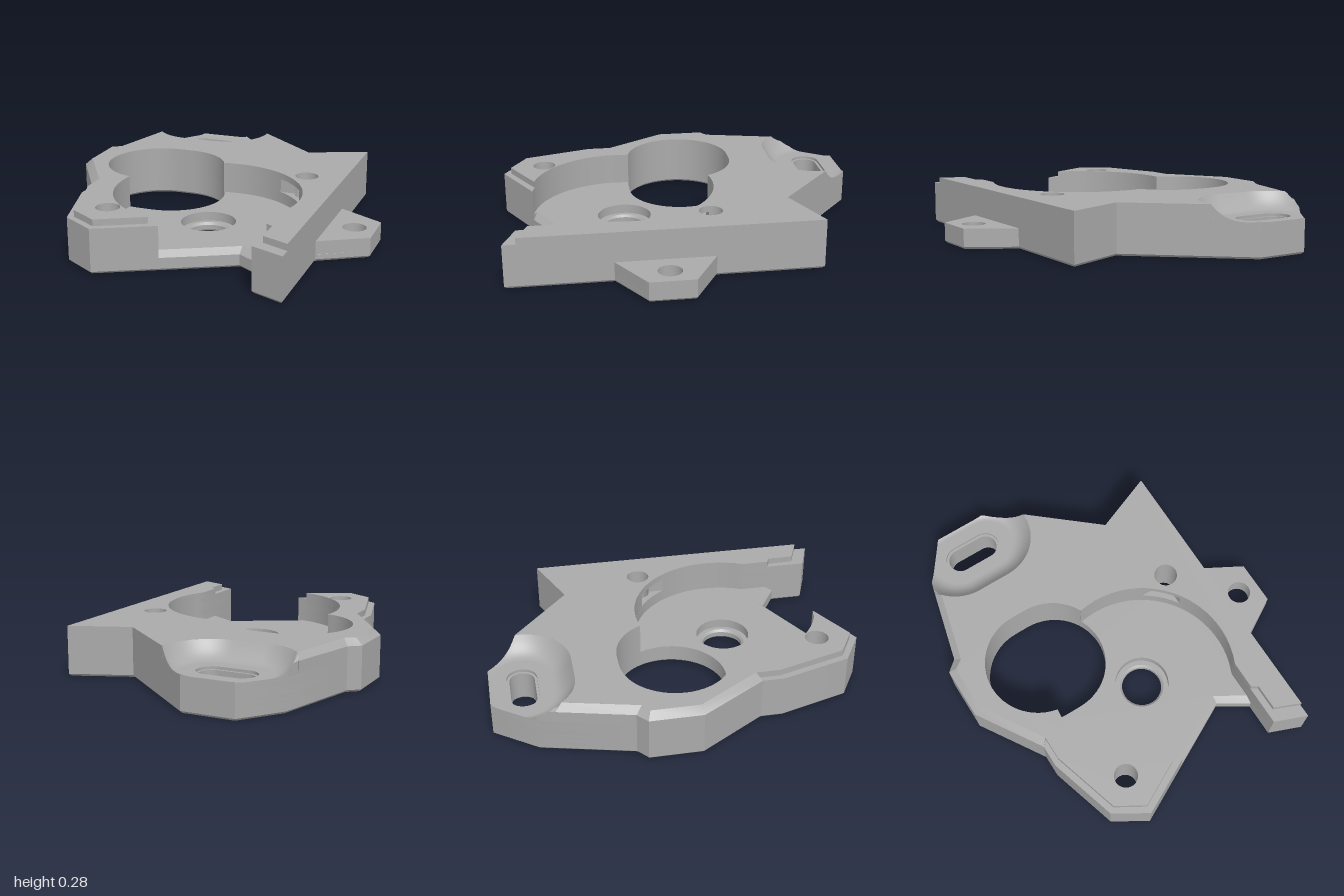
import * as THREE from 'three';
import { toCreasedNormals } from 'three/addons/utils/BufferGeometryUtils.js';

// All contours are lists of [x, z] points seen in plan.
const rad = Math.PI / 180;
function arc(cx, cz, r, from, to) {
  const n = Math.max(2, Math.ceil(Math.abs(to - from) / 6));
  return Array.from({ length: n + 1 }, (_, i) => {
    const a = (from + (to - from) * i / n) * rad;
    return [cx + r * Math.cos(a), cz + r * Math.sin(a)];
  });
}
const circle = (x, z, r) => arc(x, z, r, 0, 360).slice(0, -1);
const stadium = (x, z, half, r) => [...arc(x + half, z, r, -90, 90), ...arc(x - half, z, r, 90, 270)];

// Outer silhouette, in runs
const backEnd = [[-0.70, -0.78], [-0.54, -1], [-0.25, -1]];
const rightSide = [[0.30, -0.53], [0.625, -0.66], [0.625, 0.99], [0.45, 0.92]];
const leftSide = [[-0.37, 0.98], [-0.55, 0.87], [-0.66, 0.50], [-0.66, 0.38], [-0.88, 0.03], [-0.88, -0.25], [-0.82, -0.30]];
const frontEdge = [[-0.07, 0.825], [0.29, 0.64], [0.45, 0.74]];
const frontInset = [[-0.11, 0.805], [0.29, 0.60], [0.45, 0.695]];
const outline = [...backEnd, ...rightSide, ...[...frontEdge].reverse(), ...leftSide];

// Wall of the round pocket running into the large bore
function pocketWall(withSlot, endAngle = 98) {
  const upper = withSlot
    ? [...arc(0, 0.33, 0.5, 25.8, -32.8), ...arc(0.42, -0.09, 0.063, 90, -180), ...arc(0, 0.33, 0.5, -57.3, -101)]
    : arc(0, 0.33, 0.5, 25.8, -101);
  return [
    ...upper,
    ...arc(-0.357, -0.035, 0.293, -26.5, -90), ...arc(-0.437, -0.035, 0.293, -90, -258),
    ...arc(0, 0.33, 0.5, 188.8, endAngle),
  ];
}
// Edge of the scoop around the adjusting slot
const scoopEdge = (start) => [...arc(-0.5, -0.825, 0.26, start, 90), ...arc(-0.32, -0.825, 0.26, 90, -2.8)];

const bore = stadium(-0.397, -0.035, 0.04, 0.293);
const leftScrew = circle(-0.38, 0.75, 0.063);
const rightScrew = circle(0.42, -0.09, 0.063);
const slot = stadium(-0.41, -0.827, 0.08, 0.066);
const slotRim = stadium(-0.41, -0.827, 0.08, 0.08);

export function createModel() {
  const group = new THREE.Group();
  const metal = new THREE.MeshStandardMaterial({ color: 0xaaaaaa, side: THREE.DoubleSide });
  metal.name = 'plain grey';

  function add(name, geometry) {
    const mesh = new THREE.Mesh(geometry, metal);
    mesh.name = name;
    group.add(mesh);
  }

  // Flat layer between two heights, optionally with small bevels
  function layer(name, contour, holes, y0, y1, bevel = 0) {
    const toPath = (pts) => pts.map(([x, z]) => new THREE.Vector2(x, z));
    const shape = new THREE.Shape(toPath(contour));
    shape.holes = holes.map((h) => new THREE.Path(toPath(h)));
    const geo = new THREE.ExtrudeGeometry(shape, {
      depth: y1 - y0 - 2 * bevel, bevelEnabled: bevel > 0, bevelThickness: bevel,
      bevelSize: bevel, bevelOffset: -bevel, bevelSegments: 1,
    });
    geo.rotateX(Math.PI / 2).translate(0, y1 - bevel, 0);
    add(name, toCreasedNormals(geo, 0.4));
  }

  // Surface through rows of [x, y, z] points
  function surface(name, rows) {
    const n = rows[0].length, index = [];
    for (let j = 0; j < rows.length - 1; j++) {
      for (let i = 0; i < n - 1; i++) {
        const a = j * n + i;
        index.push(a, a + 1, a + n, a + 1, a + n + 1, a + n);
      }
    }
    const geo = new THREE.BufferGeometry();
    geo.setAttribute('position', new THREE.Float32BufferAttribute(rows.flat(2), 3));
    geo.setIndex(index);
    add(name, toCreasedNormals(geo, 0.4));
  }
  const at = (pts, y) => pts.map(([x, z]) => [x, y, z]);

  // Base plate with stepped centre hole
  const screws = [leftScrew, rightScrew];
  layer('basePlate', outline, [bore, slot, ...screws, circle(0, 0.325, 0.11)], 0, 0.05, 0.012);
  layer('baseMiddle', outline, [bore, slot, ...screws, circle(0, 0.325, 0.147)], 0.035, 0.07);
  layer('pocketFloor', [...backEnd, ...rightSide, ...[...frontInset].reverse(), frontEdge[0], ...leftSide],
    [bore, slot, ...screws, circle(0, 0.325, 0.147)], 0.07, 0.1);
  surface('floorChamfer', [at(frontEdge, 0.07), at(frontInset, 0.1)]);

  // Raised body around the pocket, with a small slot in the pocket wall
  const body = [...backEnd, ...rightSide, ...pocketWall(false), ...leftSide];
  const slotted = [...rightSide, ...pocketWall(true), ...leftSide];
  layer('bodyLower', body, [slot, ...screws], 0.1, 0.165);
  layer('bodyMiddle', [...backEnd, ...slotted], [slotRim, leftScrew], 0.165, 0.18);
  layer('bodyUpper', [...scoopEdge(148.8), ...slotted], [leftScrew], 0.18, 0.24);

  // Top layer, set back to leave ledges at the front
  const chamferTop = [[-0.63, 0.35], [-0.84, 0.02], [-0.84, -0.235], [-0.79, -0.27]];
  layer('topFace', [
    ...scoopEdge(138.9), [0.30, -0.53], [0.625, -0.66], [0.625, 0.92], [0.485, 0.86], [0.485, 0.72], [0.45, 0.70],
    ...pocketWall(false, 105), [-0.37, 0.94], [-0.52, 0.85], [-0.63, 0.48], ...chamferTop,
  ], screws, 0.24, 0.275);
  surface('sideChamfer', [
    at([chamferTop[0], ...chamferTop, [-0.695, -0.655]], 0.275),
    at([chamferTop[0], ...leftSide.slice(3), [-0.7225, -0.69]], 0.24),
  ]);

  // Curved scoop: rays from the slot's centre line, clipped at the silhouette
  function reach(ox, oz, dx, dz) {
    let best = Infinity;
    outline.forEach(([ax, az], i) => {
      const [bx, bz] = outline[(i + 1) % outline.length];
      const ex = bx - ax, ez = bz - az, det = dx * ez - dz * ex;
      if (Math.abs(det) < 1e-9) return;
      const t = ((ax - ox) * ez - (az - oz) * ex) / det;
      const u = ((ax - ox) * dz - (az - oz) * dx) / det;
      if (t > 0 && u >= 0 && u <= 1) best = Math.min(best, t);
    });
    return best;
  }
  const rays = [];
  for (let a = -90; a <= 270; a += 3) {
    const d = [Math.cos(a * rad), Math.sin(a * rad)];
    if (a <= 90) rays.push([-0.32, ...d]);
    if (a >= 90) rays.push([-0.5, ...d]);
  }
  rays.push(rays[0]);
  const steps = 8;
  const rows = Array.from({ length: steps + 1 }, (_, j) => rays.map(([cx, dx, dz]) => {
    const limit = reach(cx, -0.825, dx, dz);
    const inner = Math.min(0.15, limit), outer = Math.min(0.26, limit);
    const d = inner + (outer - inner) * j / steps;
    const t = Math.max(0, (d - 0.15) / 0.11);
    let y = 0.181 + 0.094 * t * t;
    if (dx < -0.6) y = Math.min(y, 0.24 + limit - d);
    return [cx + dx * d, y, -0.825 + dz * d];
  }));
  surface('slotScoop', rows);
  // Outer wall under the clipped scoop edge
  const rim = rows[steps];
  surface('scoopWall', [rim, rim.map(([x, , z]) => [x, 0.179, z])]);

  // Mounting tab on the side
  layer('sideTab', [[0.615, -0.095], [0.625, -0.09], [0.875, 0.05], [0.875, 0.29], [0.625, 0.435], [0.615, 0.44]],
    [circle(0.76, 0.17, 0.063)], 0.012, 0.11);
  layer('tabBase', [[0.60, -0.104], [0.875, 0.05], [0.875, 0.29], [0.60, 0.45]],
    [circle(0.76, 0.17, 0.063)], 0, 0.05, 0.012);

  return group;
}
